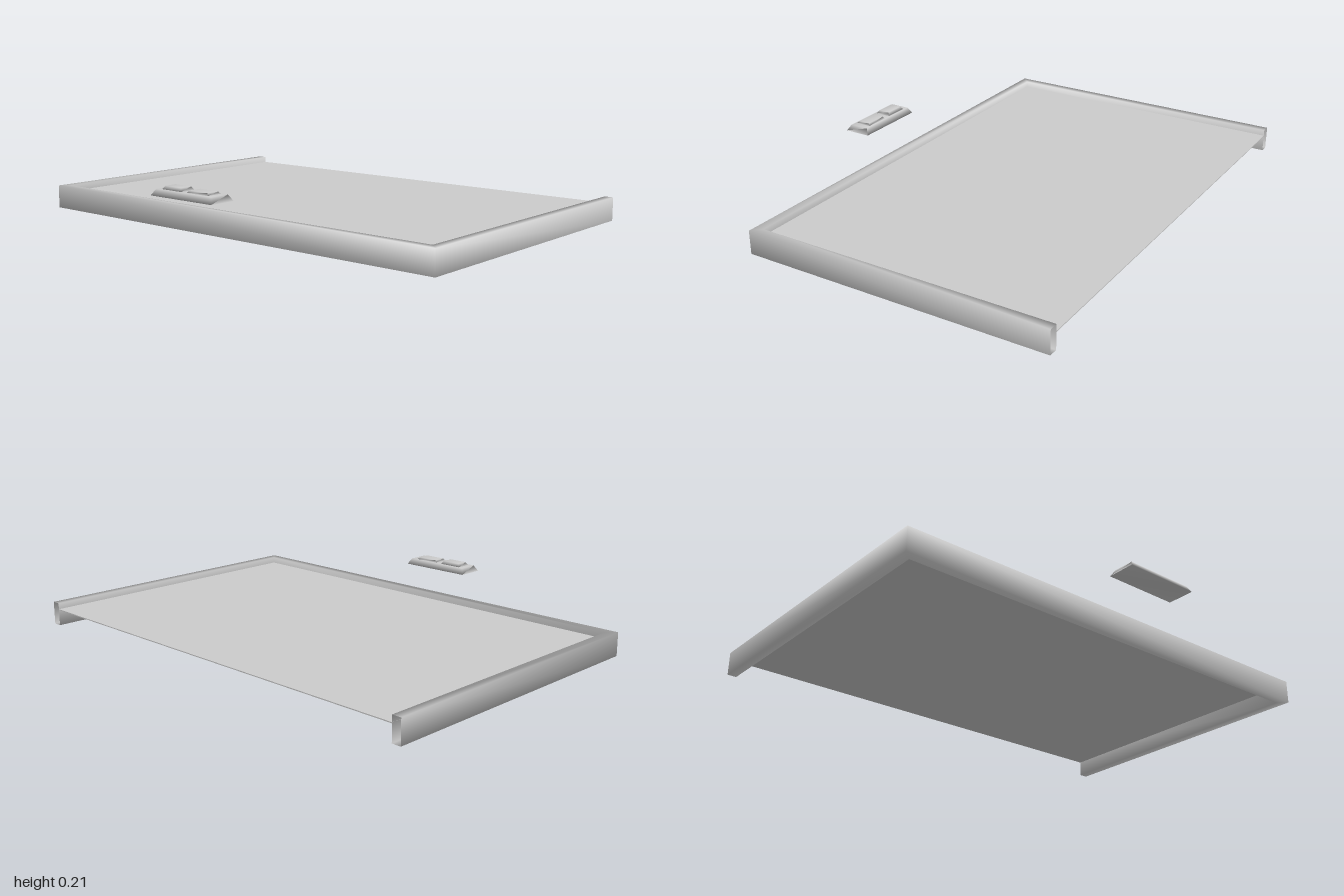
import * as THREE from 'three';

const material = new THREE.MeshStandardMaterial({ color: 0xcccccc, side: THREE.DoubleSide });

// Skin four-cornered rings in order; shared vertices give soft normals
function loft(name, rings, capped) {
  const index = [];
  for (let i = 0; i < rings.length - 1; i++) {
    for (let k = 0; k < 4; k++) {
      const a = i * 4 + k, b = i * 4 + (k + 1) % 4;
      index.push(a, a + 4, b, b, a + 4, b + 4);
    }
  }
  if (capped) {
    const t = (rings.length - 1) * 4;
    index.push(0, 1, 2, 0, 2, 3, t, t + 2, t + 1, t, t + 3, t + 2);
  }
  const geometry = new THREE.BufferGeometry();
  geometry.setAttribute('position', new THREE.Float32BufferAttribute(rings.flat(2), 3));
  geometry.setIndex(index);
  geometry.computeVertexNormals();
  const mesh = new THREE.Mesh(geometry, material);
  mesh.name = name;
  return mesh;
}

// Rectangular block whose top is inset on all sides
function bevelBlock(name, [x0, x1], [y0, y1], [z0, z1], inset) {
  const ring = (y, d) => [
    [x1 - d, y, z1 - d], [x0 + d, y, z1 - d], [x0 + d, y, z0 + d], [x1 - d, y, z0 + d],
  ];
  return loft(name, [ring(y0, 0), ring(y1, inset)], true);
}

export function createModel() {
  const model = new THREE.Group();
  model.name = 'slidingTray';

  // U-shaped hollow rail with mitred corners and open back ends
  const back = -0.75, front = 0.548, height = 0.098, width = 0.038;
  const section = [[0, 0], [0, height], [width, height], [width, 0]];
  const station = (side, z, miter) =>
    section.map(([d, y]) => [side * (1 - d), y, z - miter * d]);
  model.add(loft('rimRail', [
    station(-1, back, 0), station(-1, front, 1),
    station(1, front, 1), station(1, back, 0),
  ], false));

  // Thin floor panel held between the rails
  const depth = front - width - back;
  const panel = new THREE.Mesh(new THREE.BoxGeometry(2 - 2 * width, 0.004, depth), material);
  panel.name = 'floorPanel';
  panel.position.set(0, 0.07, back + depth / 2);
  model.add(panel);

  // Separate latch plate with two raised pads
  const latch = new THREE.Group();
  latch.name = 'latch';
  latch.add(
    bevelBlock('latchPlate', [-0.153, 0.172], [0.172, 0.197], [0.638, 0.753], 0.015),
    bevelBlock('leftPad', [0.02, 0.13], [0.196, 0.206], [0.66, 0.73], 0.008),
    bevelBlock('rightPad', [-0.115, -0.01], [0.196, 0.21], [0.66, 0.73], 0.01),
  );
  model.add(latch);
  return model;
}
